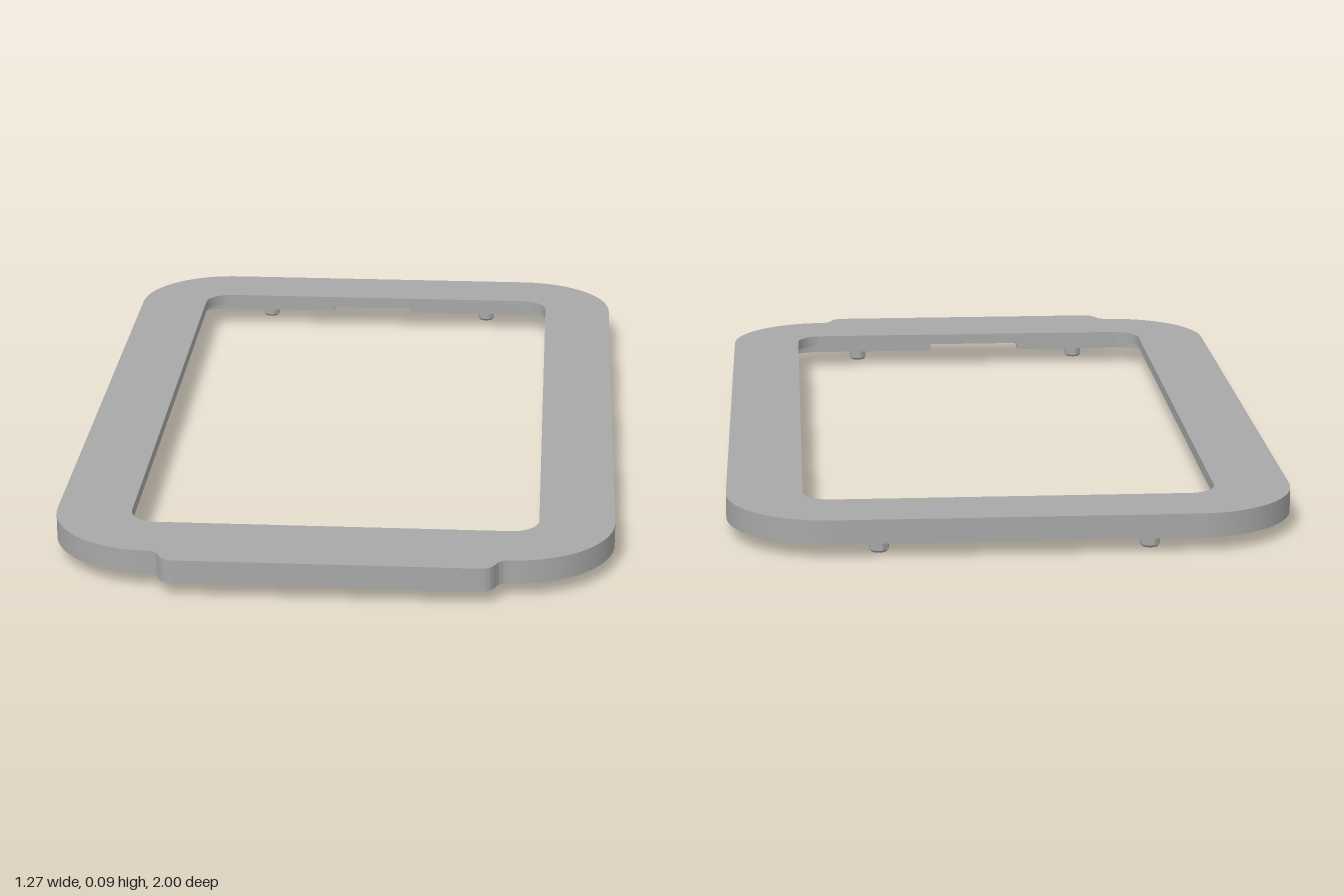
import * as THREE from 'three';
import { toCreasedNormals } from 'three/addons/utils/BufferGeometryUtils.js';

const BOTTOM = 0.033, STEP = 0.061, TOP = 0.088;

// Rounded rectangle in plan (x, z); optional notches [x0, x1, z] on the front and back edges
function roundedRect(path, w, back, front, r, frontNotch, backNotch) {
  path.moveTo(-w + r, back);
  if (backNotch) {
    const [x0, x1, z] = backNotch;
    path.lineTo(x0, back).lineTo(x0, z).lineTo(x1, z).lineTo(x1, back);
  }
  path.lineTo(w - r, back);
  path.absarc(w - r, back + r, r, -Math.PI / 2, 0);
  path.lineTo(w, front - r);
  path.absarc(w - r, front - r, r, 0, Math.PI / 2);
  if (frontNotch) {
    const [x0, x1, z] = frontNotch;
    path.lineTo(x1, front).lineTo(x1, z).lineTo(x0, z).lineTo(x0, front);
  }
  path.lineTo(-w + r, front);
  path.absarc(-w + r, front - r, r, Math.PI / 2, Math.PI);
  path.lineTo(-w, back + r);
  path.absarc(-w + r, back + r, r, Math.PI, Math.PI * 1.5);
  return path;
}

// Outer outline with the shallow tab on the front edge
function outline() {
  const s = new THREE.Shape(), w = 0.637, r = 0.235, front = 0.95;
  s.moveTo(-w + r, -1);
  s.lineTo(w - r, -1);
  s.absarc(w - r, -1 + r, r, -Math.PI / 2, 0);
  s.lineTo(w, front - r);
  s.absarc(w - r, front - r, r, 0, Math.PI / 2);
  s.bezierCurveTo(0.36, 0.953, 0.385, 0.998, 0.335, 1);
  s.lineTo(-0.335, 1);
  s.bezierCurveTo(-0.385, 0.998, -0.36, 0.953, -w + r, front);
  s.absarc(-w + r, front - r, r, Math.PI / 2, Math.PI);
  s.lineTo(-w, -1 + r);
  s.absarc(-w + r, -1 + r, r, Math.PI, Math.PI * 1.5);
  return s;
}

// Flat layer between two heights with one hole
function layer(name, hole, y0, y1, material) {
  const shape = outline();
  shape.holes.push(hole);
  const geo = new THREE.ExtrudeGeometry(shape, { depth: y1 - y0, bevelEnabled: false, curveSegments: 20 });
  geo.rotateX(Math.PI / 2).translate(0, y1, 0);
  const mesh = new THREE.Mesh(toCreasedNormals(geo, 0.6), material);
  mesh.name = name;
  return mesh;
}

export function createModel() {
  const group = new THREE.Group();
  group.name = 'bezelFrame';
  const grey = new THREE.MeshStandardMaterial({ color: 0xa8a8a8 });
  grey.name = 'grey';

  // Upper layer has the window; lower layer has the wider stepped recess and its pockets
  const opening = roundedRect(new THREE.Path(), 0.465, -0.835, 0.785, 0.065);
  const recess = roundedRect(new THREE.Path(), 0.51, -0.88, 0.83, 0.1,
    [-0.14, 0.1, 0.97], [-0.12, 0.09, -0.91]);
  group.add(layer('frameTop', opening, STEP, TOP, grey));
  group.add(layer('frameUnderside', recess, BOTTOM, STEP, grey));

  // Locating pegs under the frame, chamfered at the tip
  const profile = [[0, 0], [0.018, 0], [0.022, 0.005], [0.022, BOTTOM + 0.002]];
  const pegGeo = toCreasedNormals(
    new THREE.LatheGeometry(profile.map(([x, y]) => new THREE.Vector2(x, y)), 24), 0.6);
  const spots = [[0.3, 0.89], [0.576, 0.56], [0.576, -0.03], [0.576, -0.63], [0.3, -0.94]];
  for (const [x, z] of spots) {
    for (const side of [1, -1]) {
      const peg = new THREE.Mesh(pegGeo, grey);
      peg.name = side > 0 ? 'pegLeft' : 'pegRight';
      peg.position.set(side * x, 0, z);
      group.add(peg);
    }
  }
  return group;
}
